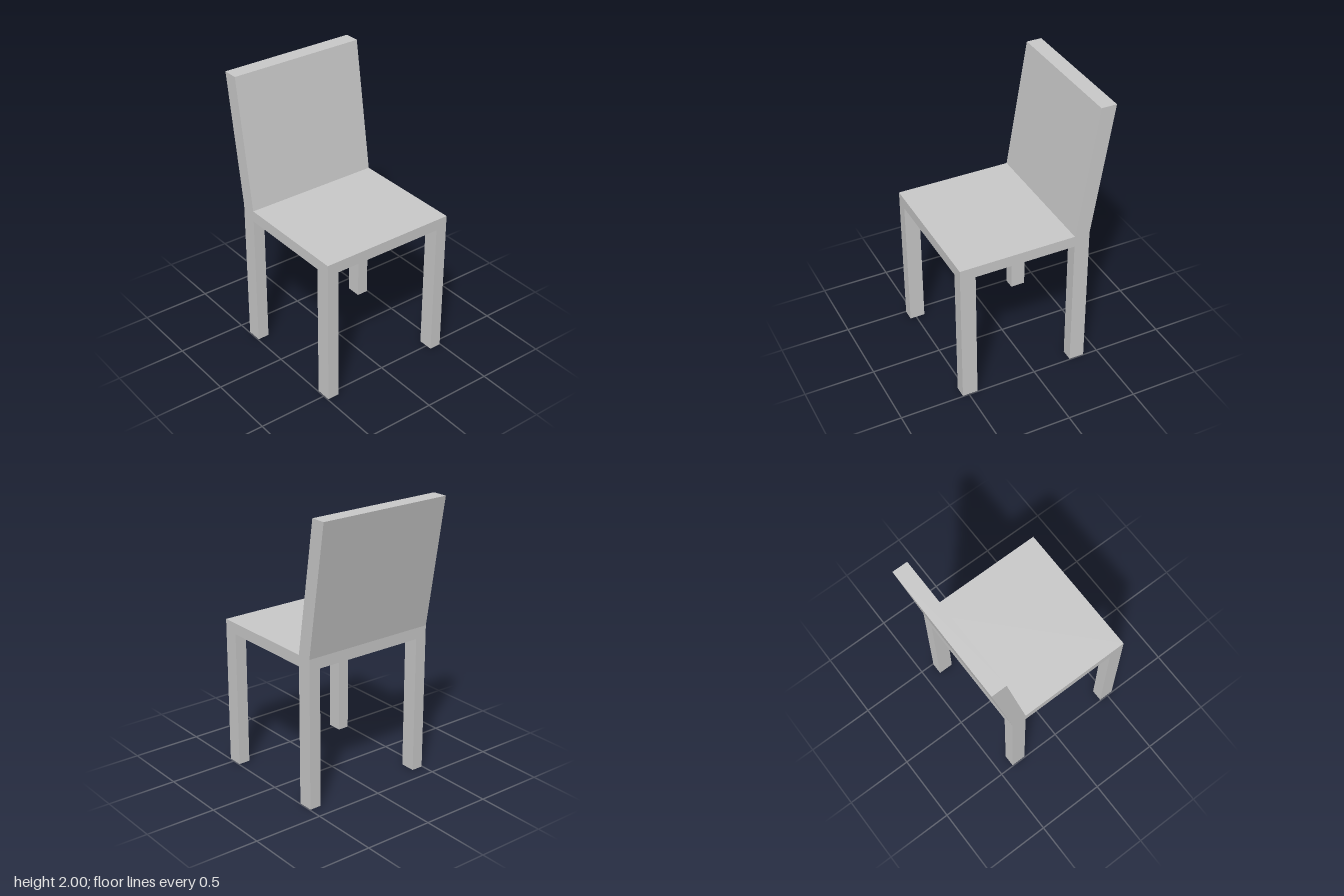
import * as THREE from 'three';

const W = 0.99;                       // overall width
const FRONT = 0.545, REAR = -0.395;   // seat depth limits
const SEAT_BOTTOM = 0.99, SEAT_TOP = 1.07, TOP = 2;
const LEG_W = 0.085, LEG_D = 0.11;
const LEAN = 0.15;                    // how far the back's top sits behind its foot

export function createModel() {
  const group = new THREE.Group();
  const material = new THREE.MeshStandardMaterial({ color: 0xcccccc, flatShading: true });

  const add = (name, geometry, x, y, z) => {
    const mesh = new THREE.Mesh(geometry, material);
    mesh.name = name;
    mesh.position.set(x, y, z);
    group.add(mesh);
  };

  // Seat slab
  add('seat', new THREE.BoxGeometry(W, SEAT_TOP - SEAT_BOTTOM, FRONT - REAR),
    0, (SEAT_BOTTOM + SEAT_TOP) / 2, (FRONT + REAR) / 2);

  // Four square-cut legs, flush with the seat corners
  const leg = new THREE.BoxGeometry(LEG_W, SEAT_BOTTOM, LEG_D);
  for (const [side, sx] of [['left', 1], ['right', -1]]) {
    const x = sx * (W - LEG_W) / 2;
    add(side + 'FrontLeg', leg, x, SEAT_BOTTOM / 2, FRONT - LEG_D / 2);
    add(side + 'RearLeg', leg, x, SEAT_BOTTOM / 2, REAR + LEG_D / 2);
  }

  // Backrest: a box sheared backwards, with level top and bottom
  const height = TOP - SEAT_TOP;
  const back = new THREE.BoxGeometry(W, height, LEG_D);
  const pos = back.attributes.position;
  for (let i = 0; i < pos.count; i++) {
    if (pos.getY(i) > 0) pos.setZ(i, pos.getZ(i) - LEAN);
  }
  back.computeVertexNormals();
  add('backrest', back, 0, SEAT_TOP + height / 2, REAR + LEG_D / 2);

  return group;
}
